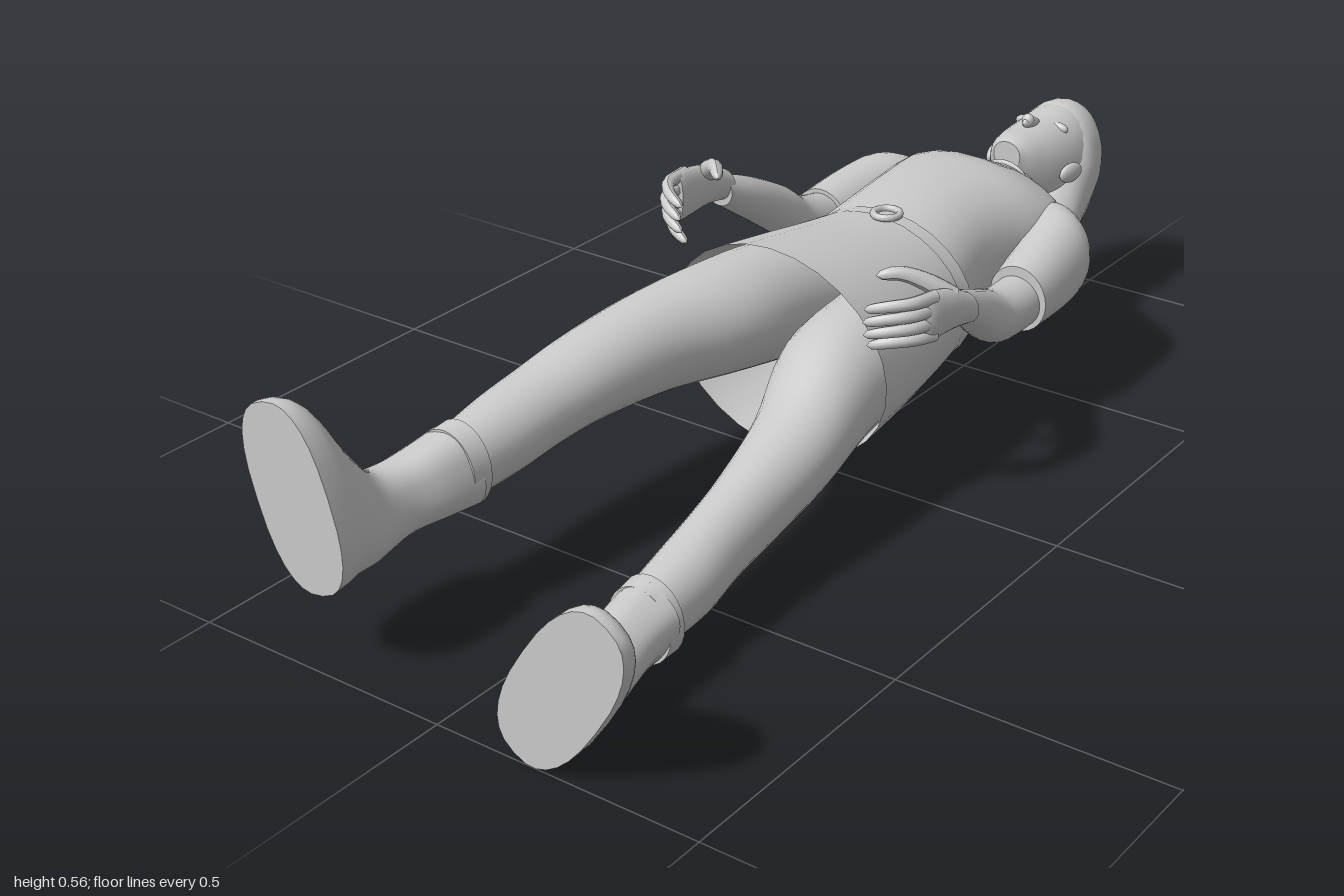
import * as THREE from 'three';

const clay = new THREE.MeshStandardMaterial({ color: 0xcacaca, side: THREE.DoubleSide });
clay.name = 'clay grey';

function add(group, name, geometry) {
  const mesh = new THREE.Mesh(geometry, clay);
  mesh.name = name;
  group.add(mesh);
  return mesh;
}

// Smooth loft through elliptical rings [z, cx, cy, rx, ry], listed by rising z.
// rot turns the rings, power below 1 squares them off.
function loft(rings, { rot = 0, power = 1, sub = 4, capStart = true, capEnd = true, sides = 28 } = {}) {
  const rows = [];
  const at = i => rings[Math.min(Math.max(i, 0), rings.length - 1)];
  for (let i = 0; i < rings.length - 1; i++) {
    for (let k = 0; k < sub; k++) {
      const t = k / sub;
      rows.push(rings[i].map((b, c) => {
        const a = at(i - 1)[c], d = at(i + 1)[c], e = at(i + 2)[c];
        return b + 0.5 * t * (d - a + t * (2 * a - 5 * b + 4 * d - e + t * (3 * (b - d) + e - a)));
      }));
    }
  }
  rows.push(rings[rings.length - 1]);

  const pos = [], index = [];
  const bend = v => Math.sign(v) * Math.abs(v) ** power;
  const ring = ([z, cx, cy, rx, ry]) => {
    for (let j = 0; j < sides; j++) {
      const a = j / sides * Math.PI * 2;
      const u = rx * bend(Math.cos(a)), v = ry * bend(Math.sin(a));
      pos.push(cx + u * Math.cos(rot) - v * Math.sin(rot), cy + u * Math.sin(rot) + v * Math.cos(rot), z);
    }
  };
  rows.forEach(ring);
  for (let i = 0; i < rows.length - 1; i++) {
    for (let j = 0; j < sides; j++) {
      const a = i * sides + j, b = i * sides + (j + 1) % sides;
      index.push(a, b, b + sides, a, b + sides, a + sides);
    }
  }
  const cap = (row, flip) => {
    const start = pos.length / 3;
    ring(row);
    pos.push(row[1], row[2], row[0]);
    for (let j = 0; j < sides; j++) {
      const a = start + j, b = start + (j + 1) % sides;
      index.push(start + sides, flip ? b : a, flip ? a : b);
    }
  };
  if (capStart) cap(rows[0], true);
  if (capEnd) cap(rows[rows.length - 1], false);
  const g = new THREE.BufferGeometry();
  g.setAttribute('position', new THREE.Float32BufferAttribute(pos, 3));
  g.setIndex(index);
  g.computeVertexNormals();
  return g;
}

// Finger-like tube that narrows and closes at its tip
function taperTube(points, r0, r1) {
  const curve = new THREE.CatmullRomCurve3(points.map(p => new THREE.Vector3(...p)));
  const seg = 16, sides = 10;
  const g = new THREE.TubeGeometry(curve, seg, 1, sides);
  const p = g.attributes.position, v = new THREE.Vector3();
  for (let i = 0; i < p.count; i++) {
    const t = Math.floor(i / (sides + 1)) / seg;
    const c = curve.getPointAt(t);
    const r = (r0 + (r1 - r0) * t) * Math.sqrt(Math.max(0, 1 - t ** 14));
    v.fromBufferAttribute(p, i).sub(c).multiplyScalar(r).add(c);
    p.setXYZ(i, v.x, v.y, v.z);
  }
  g.computeVertexNormals();
  return g;
}

function blob(group, name, x, y, z, rx, ry, rz) {
  const m = add(group, name, new THREE.SphereGeometry(1, 20, 14));
  m.position.set(x, y, z);
  m.scale.set(rx, ry, rz);
  return m;
}

// Hand with the thumb uppermost and fingers curling inwards; s is the side
function hand(s, wx, wy, reach) {
  const g = new THREE.Group();
  g.name = s > 0 ? 'leftHand' : 'rightHand';
  const p = (x, y, z) => [wx - s * x, wy + y, -0.07 + z * reach];
  add(g, 'palm', loft([
    [-0.085, wx, wy - 0.005, 0.028, 0.029],
    [-0.07 + 0.04 * reach, wx, wy + 0.012, 0.025, 0.038],
    [-0.07 + 0.1 * reach, wx - s * 0.005, wy + 0.018, 0.02, 0.046],
    [-0.07 + 0.12 * reach, wx - s * 0.01, wy + 0.02, 0.012, 0.04]
  ]));
  [-0.018, 0.006, 0.03, 0.052].forEach((y, i) => {
    const long = [0, 0.012, 0.015, 0.01][i];
    add(g, 'finger', taperTube([
      p(0, y, 0.09), p(0.012, y + 0.003, 0.135 + long), p(0.042, y, 0.165 + long), p(0.08, y - 0.01, 0.18 + long)
    ], 0.013, 0.009));
  });
  add(g, 'thumb', taperTube([p(0, 0.03, 0.03), p(0.035, 0.06, 0.06), p(0.07, 0.077, 0.09), p(0.1, 0.075, 0.12)], 0.02, 0.01));
  return g;
}

export function createModel() {
  const model = new THREE.Group();
  model.name = 'lyingFigure';

  // Tunic: body, open skirt and belt
  add(model, 'tunicBody', loft([
    [-0.695, -0.036, 0.3, 0.055, 0.052], [-0.665, -0.036, 0.285, 0.115, 0.08],
    [-0.625, -0.036, 0.272, 0.19, 0.112], [-0.55, -0.036, 0.27, 0.19, 0.146],
    [-0.45, -0.037, 0.274, 0.17, 0.15], [-0.35, -0.03, 0.275, 0.165, 0.147], [-0.21, -0.008, 0.27, 0.18, 0.14]
  ], { rot: -0.08, power: 0.9, capEnd: false }));
  add(model, 'tunicSkirt', loft([
    [-0.22, -0.008, 0.27, 0.183, 0.142], [-0.13, -0.012, 0.265, 0.2, 0.155],
    [-0.03, -0.019, 0.26, 0.217, 0.172], [0.085, -0.027, 0.256, 0.232, 0.19]
  ], { rot: -0.2, capStart: false, capEnd: false }));
  add(model, 'belt', loft([[-0.235, -0.008, 0.27, 0.186, 0.147], [-0.2, -0.008, 0.27, 0.188, 0.149]],
    { rot: -0.1, sub: 1, capStart: false, capEnd: false }));
  const buckle = add(model, 'beltBuckle', new THREE.TorusGeometry(0.024, 0.007, 8, 20));
  buckle.rotation.x = Math.PI / 2;
  buckle.position.set(0, 0.42, -0.217);
  const collar = add(model, 'collar', new THREE.TorusGeometry(0.062, 0.006, 8, 28));
  collar.position.set(-0.036, 0.295, -0.683);
  collar.rotation.x = -0.15;

  // Legs
  add(model, 'leftLeg', loft([
    [-0.2, 0.07, 0.26, 0.085, 0.1], [-0.05, 0.08, 0.24, 0.105, 0.11], [0.1, 0.088, 0.22, 0.104, 0.11],
    [0.25, 0.123, 0.178, 0.085, 0.083], [0.4, 0.14, 0.143, 0.067, 0.074], [0.5, 0.15, 0.125, 0.061, 0.068],
    [0.6, 0.162, 0.108, 0.061, 0.066], [0.72, 0.169, 0.093, 0.05, 0.058]
  ]));
  add(model, 'rightLeg', loft([
    [-0.2, -0.09, 0.27, 0.085, 0.1], [-0.05, -0.13, 0.28, 0.105, 0.11], [0.1, -0.148, 0.293, 0.107, 0.102],
    [0.25, -0.182, 0.293, 0.088, 0.09], [0.4, -0.202, 0.284, 0.08, 0.076], [0.5, -0.212, 0.27, 0.074, 0.07],
    [0.6, -0.216, 0.256, 0.069, 0.069], [0.72, -0.217, 0.242, 0.054, 0.062]
  ]));

  // Boots with flat soles and a turned cuff
  add(model, 'leftBoot', loft([
    [0.7, 0.168, 0.093, 0.06, 0.068], [0.76, 0.173, 0.087, 0.057, 0.063], [0.82, 0.187, 0.08, 0.055, 0.06],
    [0.87, 0.195, 0.08, 0.058, 0.07], [0.91, 0.213, 0.103, 0.063, 0.104], [0.95, 0.241, 0.142, 0.074, 0.15],
    [0.975, 0.25, 0.153, 0.08, 0.169], [1, 0.25, 0.153, 0.08, 0.171]
  ], { rot: -0.59, power: 0.79 }));
  add(model, 'leftBootCuff', loft([[0.685, 0.168, 0.093, 0.064, 0.071], [0.72, 0.17, 0.091, 0.062, 0.068]], { sub: 1 }));
  add(model, 'rightBoot', loft([
    [0.7, -0.217, 0.243, 0.06, 0.07], [0.76, -0.226, 0.237, 0.057, 0.064], [0.82, -0.24, 0.23, 0.055, 0.06],
    [0.87, -0.245, 0.23, 0.057, 0.07], [0.91, -0.253, 0.253, 0.064, 0.102], [0.95, -0.265, 0.292, 0.077, 0.143],
    [0.975, -0.271, 0.3, 0.083, 0.159], [1, -0.271, 0.3, 0.083, 0.161]
  ], { rot: 0.29, power: 0.79 }));
  add(model, 'rightBootCuff', loft([[0.685, -0.217, 0.243, 0.064, 0.076], [0.72, -0.22, 0.241, 0.062, 0.073]], { sub: 1 }));

  // Sleeves, arms and hands
  add(model, 'leftSleeve', loft([
    [-0.645, 0.1, 0.272, 0.04, 0.05], [-0.58, 0.15, 0.262, 0.074, 0.086],
    [-0.5, 0.172, 0.25, 0.07, 0.083], [-0.375, 0.187, 0.24, 0.06, 0.064]
  ]));
  add(model, 'rightSleeve', loft([
    [-0.645, -0.17, 0.282, 0.04, 0.05], [-0.58, -0.225, 0.285, 0.074, 0.086],
    [-0.5, -0.248, 0.285, 0.072, 0.083], [-0.375, -0.256, 0.288, 0.062, 0.066]
  ]));
  add(model, 'leftArm', loft([
    [-0.42, 0.184, 0.236, 0.05, 0.05], [-0.31, 0.186, 0.235, 0.051, 0.05], [-0.25, 0.192, 0.255, 0.05, 0.052],
    [-0.15, 0.225, 0.31, 0.041, 0.042], [-0.07, 0.248, 0.358, 0.029, 0.03]
  ]));
  add(model, 'rightArm', loft([
    [-0.42, -0.254, 0.287, 0.05, 0.05], [-0.31, -0.258, 0.31, 0.05, 0.052], [-0.25, -0.26, 0.35, 0.048, 0.054],
    [-0.15, -0.262, 0.41, 0.042, 0.044], [-0.07, -0.268, 0.452, 0.03, 0.031]
  ]));
  model.add(hand(1, 0.252, 0.356, 0.95), hand(-1, -0.268, 0.465, 1.1));

  // Head and hair
  const head = new THREE.Group();
  head.name = 'head';
  model.add(head);
  const hx = -0.043;
  add(head, 'neck', loft([[-0.8, hx, 0.29, 0.055, 0.055], [-0.72, hx, 0.295, 0.05, 0.052], [-0.64, hx, 0.28, 0.06, 0.06]]));
  add(head, 'face', loft([
    [-0.97, hx, 0.31, 0.06, 0.085], [-0.91, hx, 0.3, 0.085, 0.113], [-0.84, hx, 0.3, 0.086, 0.106],
    [-0.78, hx, 0.315, 0.075, 0.088], [-0.735, hx, 0.345, 0.053, 0.056], [-0.71, hx, 0.365, 0.03, 0.028]
  ], { power: 0.94 }));
  add(head, 'hair', loft([
    [-1, hx, 0.325, 0.015, 0.02], [-0.99, hx, 0.32, 0.047, 0.06], [-0.95, hx, 0.302, 0.084, 0.11],
    [-0.895, hx, 0.28, 0.101, 0.131], [-0.85, hx, 0.247, 0.107, 0.115], [-0.79, -0.04, 0.215, 0.118, 0.09],
    [-0.69, -0.035, 0.168, 0.14, 0.074], [-0.6, -0.035, 0.135, 0.13, 0.048], [-0.545, -0.035, 0.118, 0.11, 0.026]
  ]));
  const nose = blob(head, 'nose', hx, 0.404, -0.802, 0.012, 0.014, 0.03);
  nose.rotation.x = -0.35;
  blob(head, 'noseTip', hx, 0.414, -0.789, 0.013, 0.014, 0.011);
  blob(head, 'upperLip', hx, 0.391, -0.758, 0.022, 0.01, 0.006);
  blob(head, 'lowerLip', hx, 0.387, -0.75, 0.018, 0.01, 0.006);
  for (const s of [-1, 1]) {
    blob(head, 'brow', hx + s * 0.034, 0.388, -0.845, 0.026, 0.013, 0.01);
    blob(head, 'eye', hx + s * 0.033, 0.386, -0.826, 0.014, 0.009, 0.007);
    const ear = blob(head, 'ear', hx + s * 0.09, 0.316, -0.81, 0.011, 0.02, 0.031);
    ear.rotation.y = s * -0.2;
  }
  return model;
}
